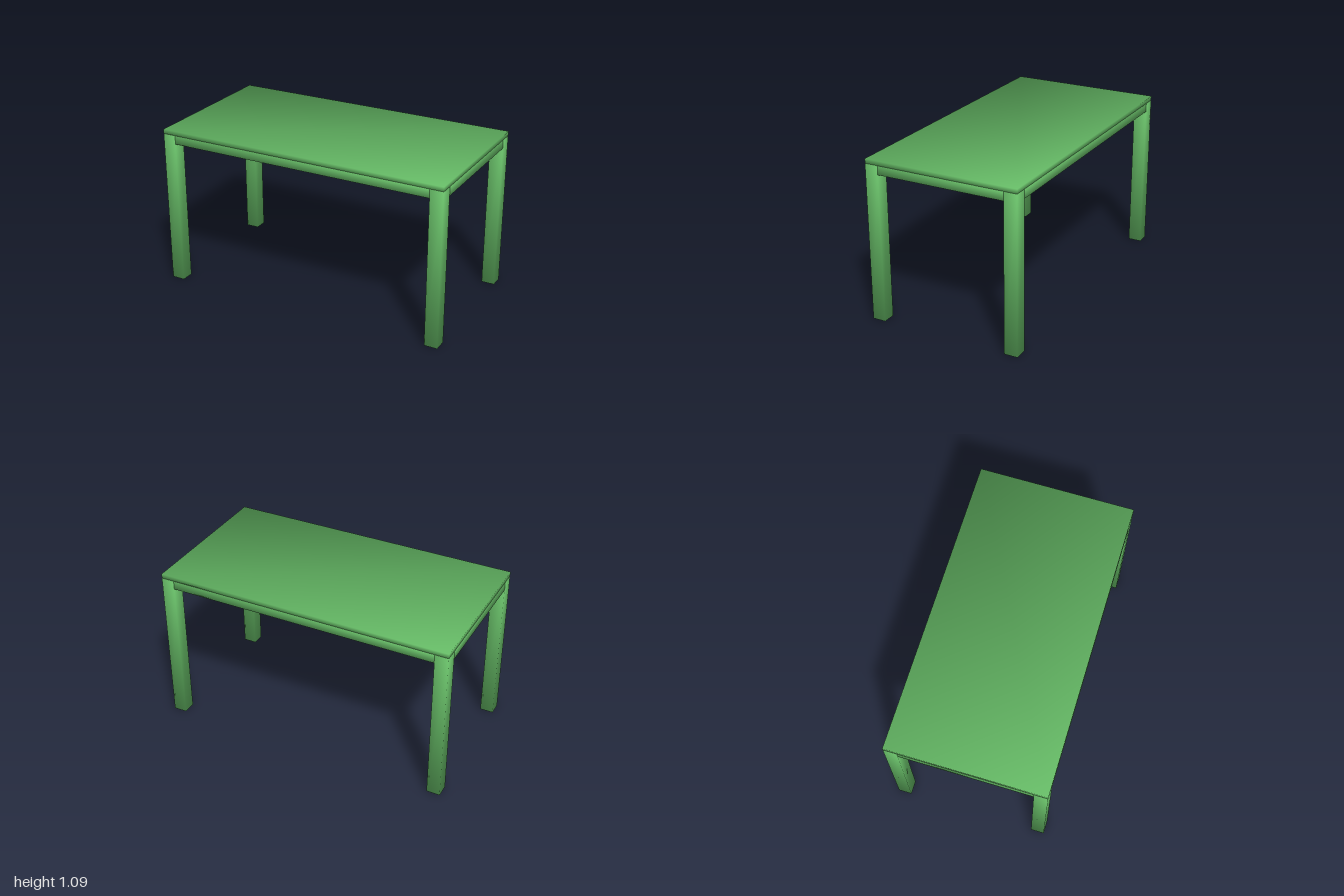
import * as THREE from 'three';

const LENGTH = 2, DEPTH = 1.046, HEIGHT = 1.09;
const TOP = 0.03, LEG = 0.09, RAIL_H = 0.06, RAIL_T = 0.05;

const green = new THREE.MeshStandardMaterial({ color: 0x66bb66 });

// Box whose eight corners share one diagonal normal each, so it shades softly
function softBox(name, w, h, d, x, y, z) {
  const geometry = new THREE.BoxGeometry(w, h, d);
  const p = geometry.attributes.position, n = geometry.attributes.normal;
  const v = new THREE.Vector3();
  for (let i = 0; i < p.count; i++) {
    v.set(Math.sign(p.getX(i)), Math.sign(p.getY(i)), Math.sign(p.getZ(i))).normalize();
    n.setXYZ(i, v.x, v.y, v.z);
  }
  const mesh = new THREE.Mesh(geometry, green);
  mesh.name = name;
  mesh.position.set(x, y, z);
  return mesh;
}

export function createModel() {
  const table = new THREE.Group();
  table.name = 'table';
  const under = HEIGHT - TOP;
  const railY = under - RAIL_H / 2;

  // Thin slab
  table.add(softBox('tabletop', LENGTH, TOP, DEPTH, 0, HEIGHT - TOP / 2, 0));

  // Four square legs flush with the corners of the slab
  for (const sx of [1, -1]) {
    for (const sz of [1, -1]) {
      const name = (sz > 0 ? 'front' : 'back') + (sx > 0 ? 'Left' : 'Right') + 'Leg';
      table.add(softBox(name, LEG, under, LEG,
        sx * (LENGTH - LEG) / 2, under / 2, sz * (DEPTH - LEG) / 2));
    }
  }

  // Rails between the legs, flush with their outer faces
  for (const s of [1, -1]) {
    table.add(softBox(s > 0 ? 'frontRail' : 'backRail', LENGTH - 2 * LEG, RAIL_H, RAIL_T,
      0, railY, s * (DEPTH - RAIL_T) / 2));
    table.add(softBox(s > 0 ? 'leftRail' : 'rightRail', RAIL_T, RAIL_H, DEPTH - 2 * LEG,
      s * (LENGTH - RAIL_T) / 2, railY, 0));
  }
  return table;
}
